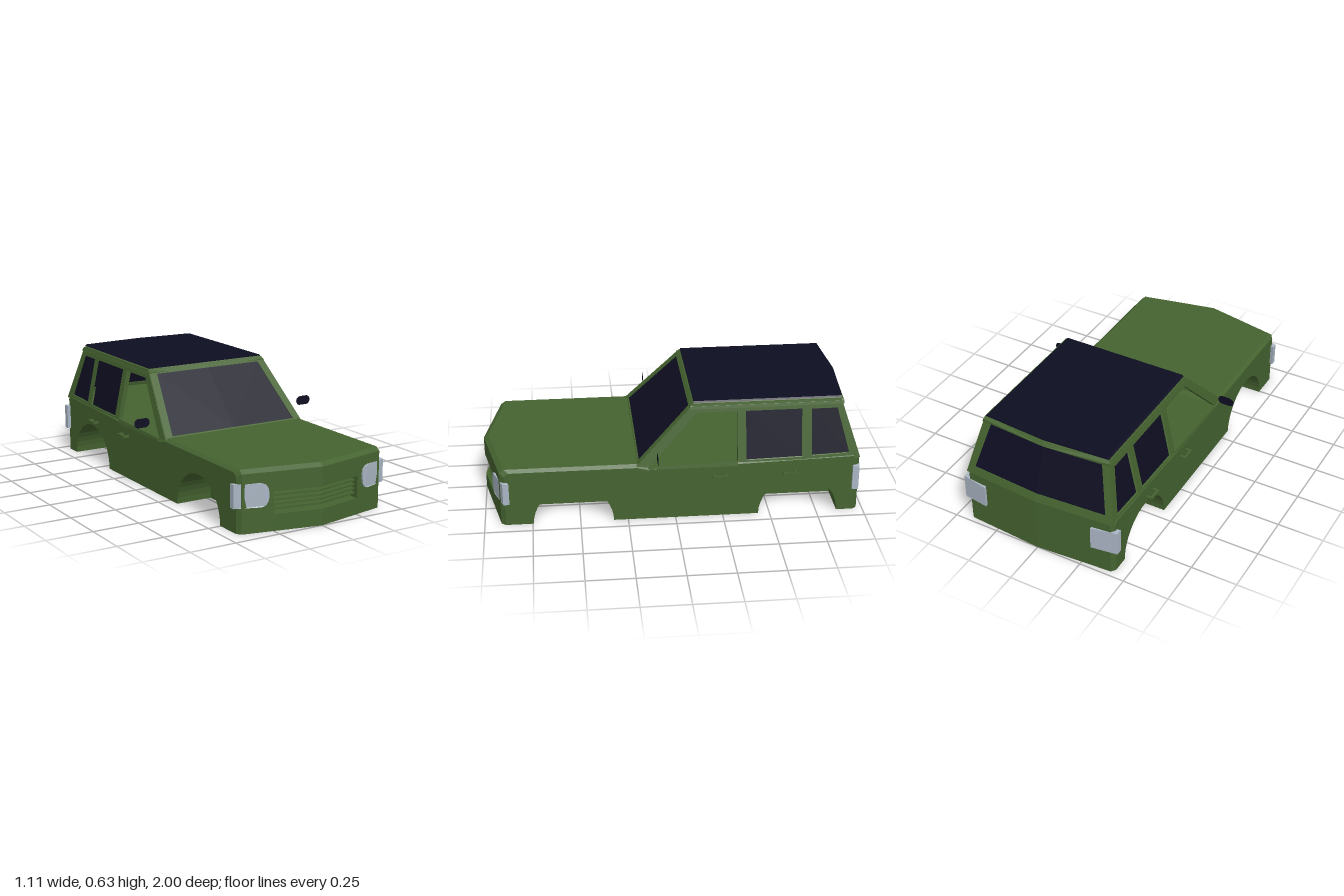
import * as THREE from 'three';

const paint = new THREE.MeshStandardMaterial({ color: 0x456330 });
paint.name = 'green paint';
const glass = new THREE.MeshStandardMaterial({ color: 0x0e0e22, side: THREE.DoubleSide });
glass.name = 'dark glass';
const lampGrey = new THREE.MeshStandardMaterial({ color: 0xaab6c4 });
lampGrey.name = 'lamp grey';

const toShape = (pts, holes = []) => {
  const s = new THREE.Shape(pts.map(p => new THREE.Vector2(...p)));
  holes.forEach(h => s.holes.push(new THREE.Path(h.map(p => new THREE.Vector2(...p)))));
  return s;
};

// Moves every vertex by a rule, then facets the result
function warp(geo, rule) {
  const g = geo.index ? geo.toNonIndexed() : geo;
  const p = g.attributes.position;
  for (let i = 0; i < p.count; i++) p.setXYZ(i, ...rule(p.getX(i), p.getY(i), p.getZ(i)));
  g.computeVertexNormals();
  return g;
}

// Mirrors in x and restores the corner order
function mirrored(geo) {
  const g = geo.clone();
  const p = g.attributes.position;
  for (let i = 0; i < p.count; i += 3) {
    const v = [0, 2, 1].map(k => [-p.getX(i + k), p.getY(i + k), p.getZ(i + k)]);
    v.forEach((c, k) => p.setXYZ(i + k, ...c));
  }
  g.computeVertexNormals();
  return g;
}

// Extrudes an (x, y) outline from z0 to z1
function frontPlate(pts, z0, z1, rule, holes) {
  const g = new THREE.ExtrudeGeometry(toShape(pts, holes), { depth: z1 - z0, bevelEnabled: false });
  g.translate(0, 0, z0);
  return warp(g, rule);
}

// Extrudes a (z, y) outline from x0 to x1
function sidePlate(pts, x0, x1, rule, holes = []) {
  const flip = a => a.map(([z, y]) => [-z, y]);
  const g = new THREE.ExtrudeGeometry(toShape(flip(pts), holes.map(flip)), { depth: x1 - x0, bevelEnabled: false });
  g.rotateY(Math.PI / 2);
  g.translate(x0, 0, 0);
  return warp(g, rule);
}

// Pointed nose and slightly pointed tail
const bend = (x, y, z) => [x, y, z > 0.8 ? z - 0.21 * x : z < -0.9 ? z + 0.07 * x : z];
const chamfer = (x, y, z) => bend(x, x > 0.429 && y > 0.25 ? y - 0.015 : y,
  x > 0.429 && Math.abs(z) > 0.9 ? z - Math.sign(z) * 0.02 : z);

// Lower body outline, with optional wheel arches and grille recess
function bodyProfile(arches, grille) {
  const pts = [[-1, 0]];
  if (arches) for (const c of [-0.65, 0.535]) {
    for (let i = 0; i <= 20; i++) {
      const a = Math.PI * (1 - i / 20);
      pts.push([c + 0.21 * Math.cos(a), 0.21 * Math.sin(a)]);
    }
  }
  pts.push([1, 0]);
  if (grille) pts.push([1, 0.085], [0.93, 0.085], [0.93, 0.2], [1, 0.2]);
  pts.push([1, 0.3], [0.975, 0.318], [0.2, 0.318], [0.14, 0.302], [-0.33, 0.315], [-0.985, 0.332], [-1, 0.315]);
  return pts;
}

export function createModel() {
  const model = new THREE.Group();
  const both = (name, geo, mat) => {
    const g = geo.index ? geo.toNonIndexed() : geo;
    for (const [side, part] of [['left', g], ['right', mirrored(g)]]) {
      const m = new THREE.Mesh(part, mat);
      m.name = `${side} ${name}`;
      model.add(m);
    }
  };
  const box = (x0, x1, y0, y1, z0, z1) => new THREE.BoxGeometry(x1 - x0, y1 - y0, z1 - z0)
    .translate((x0 + x1) / 2, (y0 + y1) / 2, (z0 + z1) / 2);

  // Lower body, in slices from the middle outwards
  both('middle body', sidePlate(bodyProfile(false, true), 0, 0.23, bend), paint);
  both('inner body', sidePlate(bodyProfile(true, true), 0.23, 0.25, bend), paint);
  both('outer body', sidePlate(bodyProfile(true, false), 0.25, 0.412, bend), paint);
  both('body side', sidePlate(bodyProfile(true, false), 0.412, 0.43, chamfer), paint);

  // Grille slats
  for (const y of [0.108, 0.13, 0.152, 0.175]) {
    both('grille slat', warp(box(0, 0.25, y - 0.005, y + 0.005, 0.925, 0.98), bend), paint);
  }

  // Leaning cabin sides with one open and two glazed windows
  const lean = (x, y, z) => [x - (y - 0.31) * 0.215, y, z];
  const frontWindow = [[0.14, 0.303], [-0.115, 0.577], [-0.325, 0.577], [-0.325, 0.315]];
  const rearWindow = [[-0.37, 0.318], [-0.37, 0.577], [-0.665, 0.577], [-0.665, 0.324]];
  const quarterWindow = [[-0.715, 0.328], [-0.715, 0.575], [-0.85, 0.575], [-0.915, 0.335]];
  // Front window is open at the sill so no sliver remains there
  const cabinSide = [[0.2, 0.31], [-0.1, 0.622], [-0.87, 0.622], [-0.972, 0.31], [-0.325, 0.31],
    [-0.325, 0.577], [-0.115, 0.577], [0.14, 0.302]];
  both('cabin side', sidePlate(cabinSide, 0.402, 0.428, lean, [rearWindow, quarterWindow]), paint);
  both('rear door glass', sidePlate(rearWindow, 0.412, 0.418, lean), glass);
  both('quarter glass', sidePlate(quarterWindow, 0.412, 0.418, lean), glass);
  both('window sill', sidePlate([...frontWindow.slice(0, 1), frontWindow[3], [-0.325, 0.29], [0.14, 0.29]],
    0.402, 0.428, lean), paint);

  // Windscreen
  const frame = (low, high) => [[0, 0.31], [0.426, 0.31], [0.36, 0.62], [0, 0.62], [0, high], [0.32, high], [0.38, low], [0, low]];
  const pane = (low, high) => [[0, low], [0.38, low], [0.32, high], [0, high]];
  const rake = (x, y, z) => [x, y, z + 0.2 - (y - 0.315) * 0.965];
  both('windscreen frame', frontPlate(frame(0.322, 0.6), -0.028, 0, rake), paint);
  both('windscreen', frontPlate(pane(0.322, 0.6), -0.012, -0.006, rake), glass);

  // Rear window
  const rearRake = (x, y, z) => [x, y, z - 0.995 + (y - 0.33) * 0.345 + 0.07 * x];
  both('rear window frame', frontPlate(frame(0.35, 0.592), 0, 0.025, rearRake), paint);
  both('rear window', frontPlate(pane(0.35, 0.592), 0.004, 0.01, rearRake), glass);

  // Roof with rounded edges and a dark top
  const roofEnd = (x, y, z) => [x, y, z < -0.5
    ? z - 0.025 + 0.07 * x + (y > 0.62 ? 0.02 : 0)
    : z - (y > 0.62 ? 0.025 : 0)];
  both('roof', frontPlate([[0, 0.596], [0.368, 0.596], [0.364, 0.61], [0.345, 0.628], [0, 0.628]],
    -0.885, -0.08, roofEnd), paint);
  both('roof panel', frontPlate([[0, 0.626], [0.354, 0.626], [0.346, 0.633], [0, 0.633]],
    -0.893, -0.075, roofEnd), glass);

  // Headlamps wrapping the front corners
  const lamp = [[0.45, 0.13], [0.45, 0.25], [0.32, 0.25], [0.298, 0.243], [0.285, 0.225], [0.28, 0.2],
    [0.28, 0.18], [0.285, 0.155], [0.298, 0.137], [0.32, 0.13]];
  const lampBend = (x, y, z) => [x, y, z + 1 - 0.21 * x - (x > 0.44 ? 0.02 : 0)];
  both('headlamp', frontPlate(lamp, -0.02, 0.012, lampBend), lampGrey);
  both('headlamp side', box(0.425, 0.45, 0.13, 0.25, 0.875, 0.89), lampGrey);

  // Tail lamps
  const tail = [[0.31, 0.135], [0.45, 0.13], [0.45, 0.265], [0.31, 0.26]];
  both('tail lamp', frontPlate(tail, -0.014, 0.02,
    (x, y, z) => [x, y, z - 1 + 0.07 * x + (x > 0.44 ? 0.015 : 0)]), lampGrey);
  both('tail lamp side', box(0.425, 0.45, 0.13, 0.265, -0.96, -0.935), lampGrey);

  // Door handles
  for (const z of [-0.235, -0.6]) {
    both('door handle grip', box(0.452, 0.464, 0.236, 0.248, z - 0.038, z + 0.038), paint);
    for (const s of [-1, 1]) {
      both('door handle post', box(0.425, 0.454, 0.236, 0.248, z + s * 0.032 - 0.006, z + s * 0.032 + 0.006), paint);
    }
  }

  // Flat door mirrors
  const oval = new THREE.Shape();
  oval.absarc(0.53, 0.39, 0.025, -Math.PI / 2, Math.PI / 2);
  oval.absarc(0.49, 0.39, 0.025, Math.PI / 2, Math.PI * 1.5);
  both('door mirror', new THREE.ShapeGeometry(oval, 10).translate(0, 0, 0.1), glass);

  return model;
}
